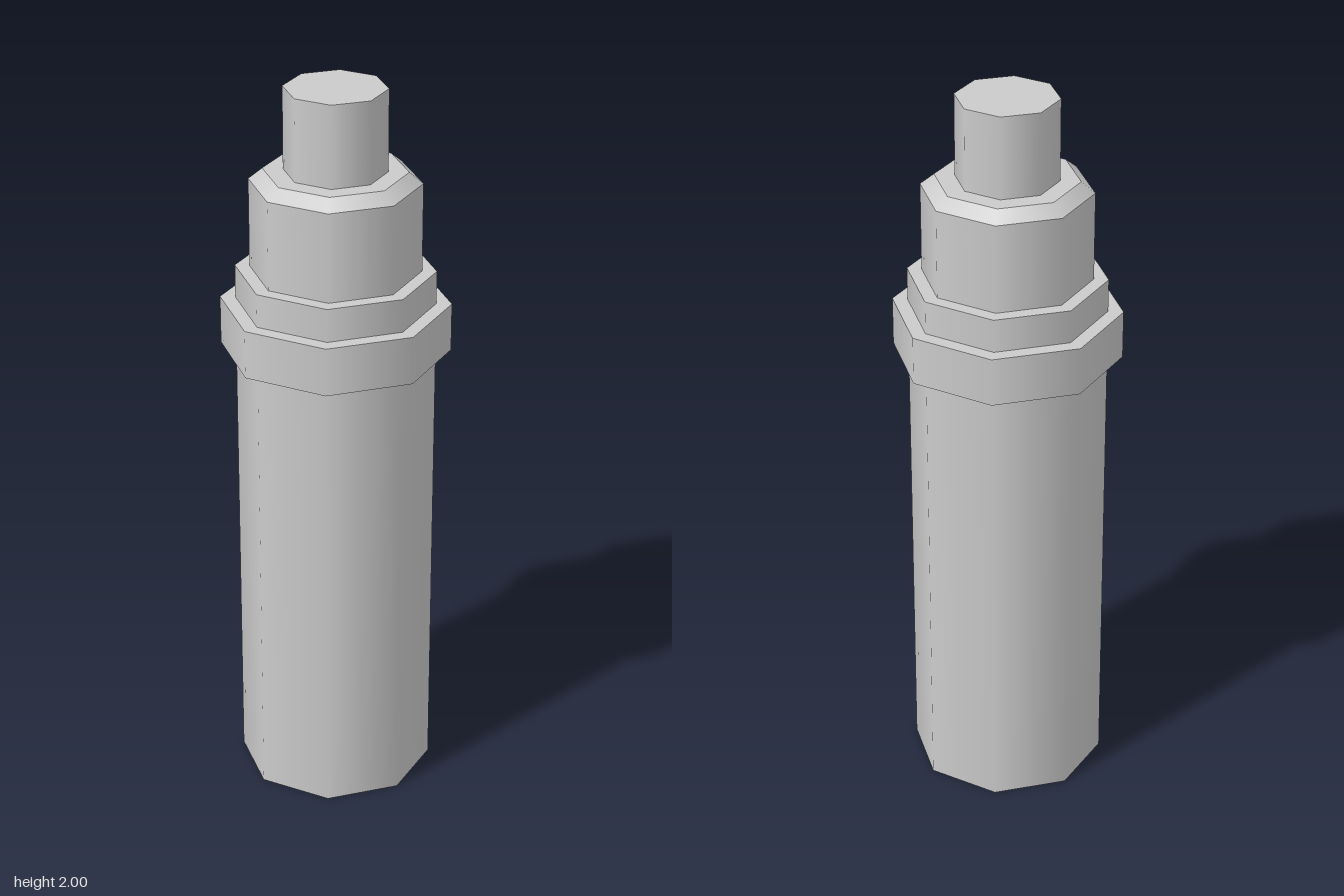
import * as THREE from 'three';

const SIDES = 8;

export function createModel() {
  const model = new THREE.Group();
  model.name = 'steppedCylinder';
  const material = new THREE.MeshStandardMaterial({ color: 0xcccccc });

  // Eight-sided section with smooth sides and corners on the x and z axes
  function section(name, bottom, top, bottomRadius, topRadius = bottomRadius) {
    const geometry = new THREE.CylinderGeometry(topRadius, bottomRadius, top - bottom, SIDES);
    geometry.translate(0, (bottom + top) / 2, 0);
    const mesh = new THREE.Mesh(geometry, material);
    mesh.name = name;
    model.add(mesh);
  }

  // Main barrel, running up through the collar to the upper step
  section('body', 0, 1.5, 0.267);
  // Wide band around the barrel
  section('collar', 1.275, 1.408, 0.308);
  // Narrower head with a bevelled shoulder
  section('head', 1.5, 1.745, 0.228);
  section('headBevel', 1.745, 1.775, 0.228, 0.191);
  // Pin on top
  section('tip', 1.775, 2, 0.137);

  return model;
}
